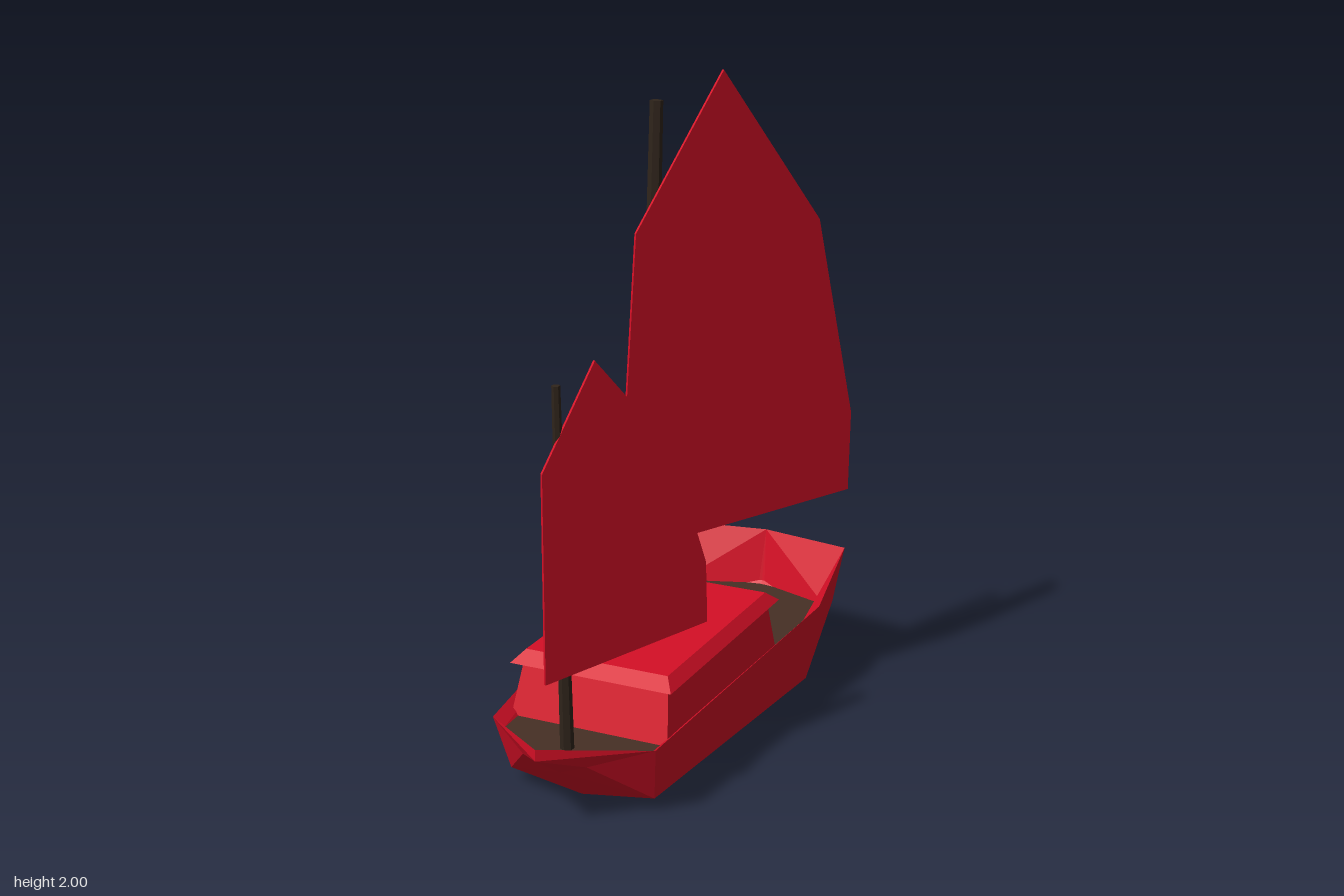
import * as THREE from 'three';

const red = new THREE.MeshStandardMaterial({ color: 0xd60f26, flatShading: true, side: THREE.DoubleSide });
red.name = 'red paint';
const brown = new THREE.MeshStandardMaterial({ color: 0x463025, flatShading: true, side: THREE.DoubleSide });
brown.name = 'deck brown';
const dark = new THREE.MeshStandardMaterial({ color: 0x2f241b, flatShading: true });
dark.name = 'mast wood';

const CX = -0.02; // centreline of the hull
const DECK = 0.19;

function add(group, name, geometry, material) {
  const mesh = new THREE.Mesh(geometry, material);
  mesh.name = name;
  group.add(mesh);
  return mesh;
}

// Polygons given for the +x side, counter-clockwise from outside, mirrored to -x.
function mirroredFaces(polygons) {
  const pos = [];
  const put = (p, s) => pos.push(CX + s * p[0], p[1], p[2]);
  for (const poly of polygons) {
    for (let i = 1; i < poly.length - 1; i++) {
      put(poly[0], 1); put(poly[i], 1); put(poly[i + 1], 1);
      put(poly[0], -1); put(poly[i + 1], -1); put(poly[i], -1);
    }
  }
  const g = new THREE.BufferGeometry();
  g.setAttribute('position', new THREE.Float32BufferAttribute(pos, 3));
  g.computeVertexNormals();
  return g;
}

// Box with different bottom and top rectangles: [half width, back z, front z, y]
function frustum(bottom, top) {
  const g = new THREE.BoxGeometry(2, 2, 2).toNonIndexed();
  const p = g.attributes.position;
  for (let i = 0; i < p.count; i++) {
    const [w, back, front, y] = p.getY(i) < 0 ? bottom : top;
    p.setXYZ(i, CX + p.getX(i) * w, y, p.getZ(i) < 0 ? back : front);
  }
  g.computeVertexNormals();
  return g;
}

// Tapered six-sided pole between two points
function pole(a, b, ra, rb) {
  const from = new THREE.Vector3(...a), to = new THREE.Vector3(...b);
  const dir = to.clone().sub(from);
  const g = new THREE.CylinderGeometry(rb, ra, dir.length(), 6);
  g.applyQuaternion(new THREE.Quaternion().setFromUnitVectors(new THREE.Vector3(0, 1, 0), dir.normalize()));
  return g.translate(...from.add(to).multiplyScalar(0.5).toArray());
}

// Thin flat sail: outline as [z, y], spanning in plan from a to b ([x, z])
function sail(outline, a, b) {
  const dx = b[0] - a[0], dz = b[1] - a[1], length = Math.hypot(dx, dz);
  const shape = new THREE.Shape(outline.map(([z, y]) => new THREE.Vector2((z - a[1]) / dz * length, y)));
  const depth = 0.008;
  const g = new THREE.ExtrudeGeometry(shape, { depth, bevelEnabled: false });
  g.translate(0, 0, -depth / 2).rotateY(Math.atan2(-dz, dx));
  return g.translate(a[0], 0, a[1]);
}

export function createModel() {
  const model = new THREE.Group();
  model.name = 'sailingBoat';

  // Rim, from bow to stern
  const bow = [0, 0.265, 0.8], rimF = [0.258, 0.22, 0.58], rimM = [0.342, 0.295, -0.42];
  const rimB = [0.297, 0.37, -0.75], stern = [0, 0.37, -0.8];
  // Stem and forward underside
  const bowLow = [0, 0.23, 0.8], cheek = [0.1, 0.185, 0.69], stem = [0, 0.135, 0.66];
  // Chine and keel
  const chineF = [0.23, 0.045, 0.53], chineB = [0.302, 0.045, -0.42];
  const keelF = [0, 0.01, 0.53], keelB = [0, 0.004, -0.655];
  // Transom and skeg
  const tranSide = [0.27, 0.19, -0.72], tranMid = [0, 0.2, -0.77], skeg = [0, 0.115, -0.69];

  add(model, 'hull', mirroredFaces([
    [bowLow, cheek, rimF, bow],
    [cheek, chineF, rimF],
    [bowLow, stem, cheek],
    [stem, chineF, cheek],
    [stem, keelF, chineF],
    [chineF, chineB, rimM, rimF],
    [chineB, tranSide, rimB, rimM],
    [keelF, keelB, chineB, chineF],
    [keelB, tranSide, chineB],
    [keelB, skeg, tranSide],
    [skeg, tranMid, tranSide],
    [tranSide, tranMid, stern, rimB],
  ]), red);

  // Inside of the bulwark slopes in to the deck edge
  const inner = [[0, DECK, 0.715], [0.05, DECK, 0.715], [0.225, DECK, 0.575],
    [0.265, DECK, -0.42], [0.255, DECK, -0.68], [0, DECK, -0.77]];
  const rim = [bow, bow, rimF, rimM, rimB, stern];
  const walls = [];
  for (let i = 0; i < rim.length - 1; i++) {
    walls.push(i === 0 ? [inner[0], bow, inner[1]] : [inner[i], rim[i], rim[i + 1], inner[i + 1]]);
  }
  add(model, 'bulwarkInside', mirroredFaces(walls), red);
  add(model, 'deck', mirroredFaces([inner]), brown);

  // Cabin with overhanging roof
  add(model, 'cabinWalls', frustum([0.25, -0.29, 0.487, DECK], [0.23, -0.265, 0.44, 0.35]), red);
  add(model, 'cabinRoof', frustum([0.256, -0.3, 0.478, 0.347], [0.226, -0.26, 0.435, 0.38]), red);

  // Masts
  add(model, 'mainMast', pole([-0.026, 0.3, 0.112], [-0.006, 1.93, 0.062], 0.029, 0.019), dark);
  add(model, 'foreMast', pole([-0.02, DECK, 0.615], [-0.018, 1.26, 0.653], 0.02, 0.012), dark);

  // Sails
  add(model, 'mainSail', sail([[0.225, 0.625], [-0.545, 0.65], [-0.55, 0.9], [-0.425, 1.525],
    [-0.105, 2], [0.165, 1.57]], [-0.055, 0.225], [0.36, -0.55]), red);
  add(model, 'foreSail', sail([[0.705, 0.415], [0.21, 0.465], [0.215, 0.65], [0.325, 1.02],
    [0.55, 1.31], [0.705, 1.025]], [-0.038, 0.705], [0.222, 0.21]), red);

  return model;
}
